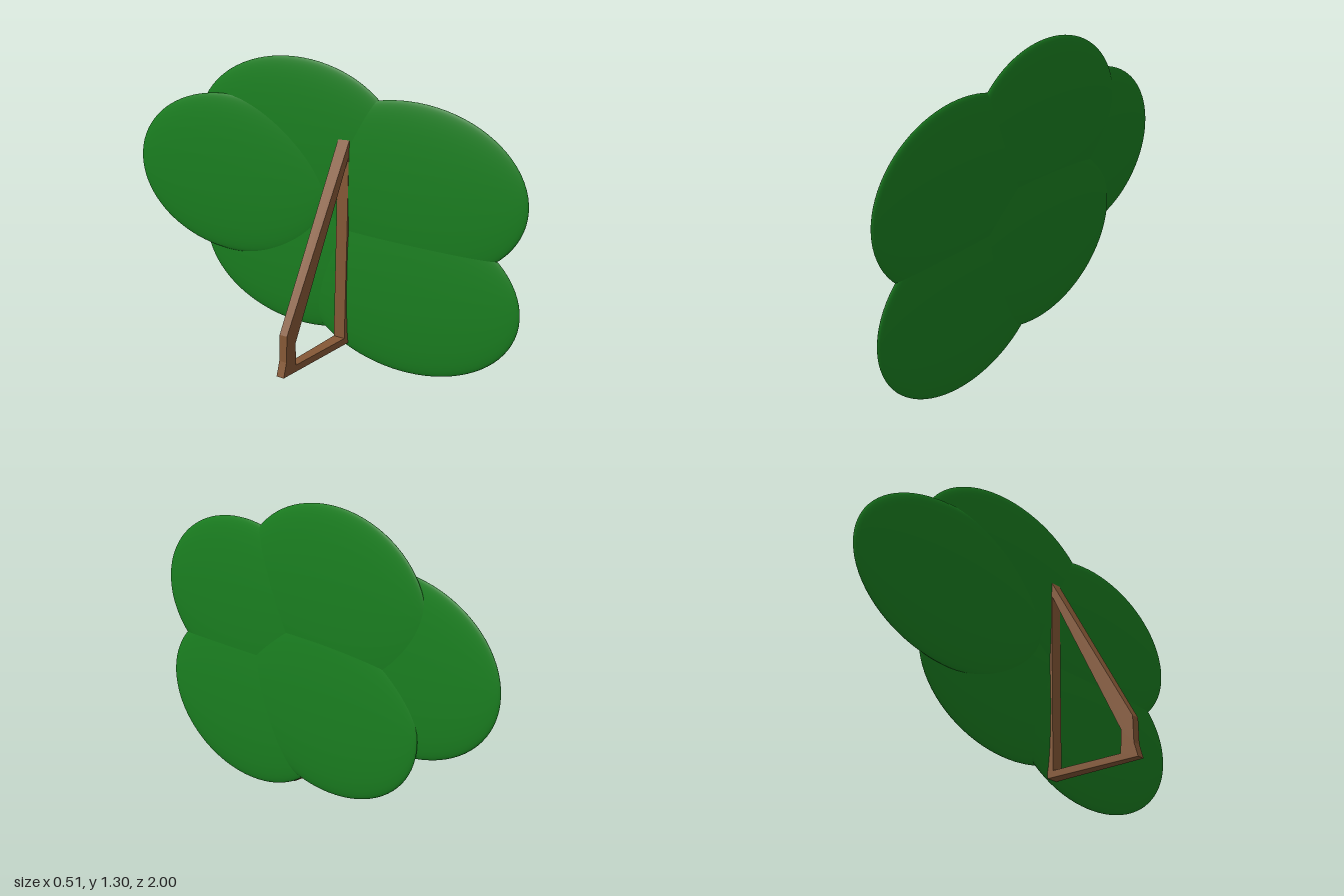
import * as THREE from 'three';

export function createModel() {
  const model = new THREE.Group();
  const green = new THREE.MeshStandardMaterial({ color: 0x1a7f20 });
  const brown = new THREE.MeshStandardMaterial({ color: 0x855836 });

  // Foliage: five overlapping flattened ellipsoids [x, y, z]
  const foliage = new THREE.Group();
  foliage.name = 'foliage';
  const ball = new THREE.SphereGeometry(1, 64, 40);
  const lobes = [
    [0.215, 0.815, 0.46],
    [0.217, 0.94, -0.11],
    [0.201, 0.74, -0.46],
    [0.216, 0.365, 0.45],
    [0.223, 0.463, -0.08],
  ];
  lobes.forEach(([x, y, z], i) => {
    const lobe = new THREE.Mesh(ball, green);
    lobe.name = `leafLobe${i + 1}`;
    lobe.position.set(x, y, z);
    lobe.scale.set(0.032, 0.365, 0.538);
    foliage.add(lobe);
  });
  model.add(foliage);

  // Stand: triangular brace frame with an open middle
  const points = (list) => list.map(([x, y]) => new THREE.Vector2(x, y));
  const outline = new THREE.Shape(points([
    [-0.26, 0.067], [0.205, 0.067], [0.215, 0.3], [0.215, 0.985],
    [0.19, 0.985], [-0.238, 0.245], [-0.241, 0.13],
  ]));
  outline.holes.push(new THREE.Path(points([
    [-0.174, 0.097], [-0.18, 0.195], [0.187, 0.915], [0.184, 0.6], [0.176, 0.097],
  ])));
  const frame = new THREE.ExtrudeGeometry(outline, { depth: 1, bevelEnabled: false });

  // Thin the frame towards its outer foot
  const pos = frame.attributes.position;
  for (let i = 0; i < pos.count; i++) {
    const half = 0.018 + (pos.getX(i) + 0.26) * 0.022;
    pos.setZ(i, 0.16 + (pos.getZ(i) * 2 - 1) * half);
  }
  frame.computeVertexNormals();
  const stand = new THREE.Mesh(frame, brown);
  stand.name = 'stand';
  model.add(stand);

  return model;
}
